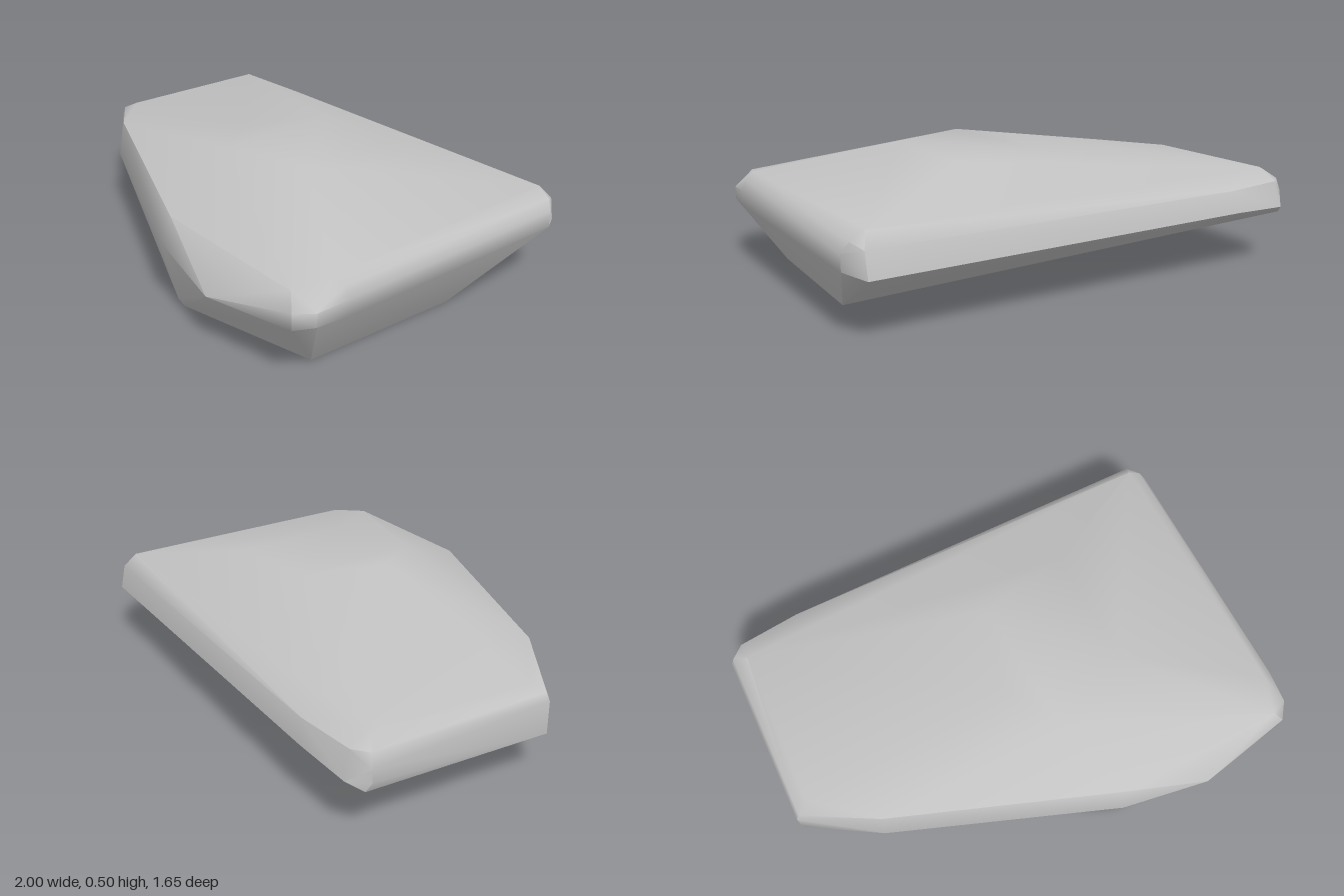
import * as THREE from 'three';
import { ConvexGeometry } from 'three/addons/geometries/ConvexGeometry.js';

// Area-weighted normals: shallow angles shade smoothly, hard breaks stay crisp
function creaseNormals(geometry, angle) {
  const pos = geometry.attributes.position;
  const corner = (i) => new THREE.Vector3().fromBufferAttribute(pos, i);
  const key = (i) => corner(i).toArray().map((v) => v.toFixed(4)).join();
  const faces = [];
  const around = {};
  for (let i = 0; i < pos.count; i += 3) {
    const a = corner(i);
    const area = corner(i + 1).sub(a).cross(corner(i + 2).sub(a));
    const face = { area, dir: area.clone().normalize() };
    faces.push(face);
    for (let k = i; k < i + 3; k++) (around[key(k)] ??= []).push(face);
  }
  const limit = Math.cos(angle);
  for (let i = 0; i < pos.count; i++) {
    const own = faces[Math.floor(i / 3)];
    const normal = new THREE.Vector3();
    for (const face of around[key(i)]) if (face.dir.dot(own.dir) > limit) normal.add(face.area);
    normal.normalize();
    geometry.attributes.normal.setXYZ(i, normal.x, normal.y, normal.z);
  }
  return geometry;
}

export function createModel() {
  const group = new THREE.Group();
  group.name = 'rock';
  const stone = new THREE.MeshStandardMaterial({ color: 0xc2c2c2 });
  stone.name = 'grey stone';

  // Corners of the slab: [x, z, heights...]
  const corners = [
    // flat foot
    [0.77, 0.01, 0], [0.6, 0.62, 0], [0.03, 0.62, 0], [-0.02, 0.6, 0.004],
    // flat crown
    [0.4, -0.2, 0.5], [0.3, 0.25, 0.5], [-0.04, 0.29, 0.5], [-0.12, 0.08, 0.5], [0.04, -0.22, 0.5],
    // left end
    [-1, -0.1, 0.185, 0.31], [-0.985, -0.1, 0.34], [-0.93, -0.12, 0.367],
    [-0.78, 0.14, 0.24], [-0.76, 0.125, 0.382],
    // back left corner
    [-0.8, -0.79, 0.205], [-0.82, -0.78, 0.24, 0.29], [-0.805, -0.77, 0.34],
    [-0.75, -0.83, 0.24], [-0.745, -0.8, 0.34], [-0.76, -0.72, 0.383],
    [-0.52, -0.79, 0.25], [-0.5, -0.765, 0.335],
    // right back corner
    [0.97, -0.41, 0.235], [0.965, -0.39, 0.33], [1, -0.31, 0.25, 0.31],
    [0.98, -0.33, 0.35], [0.93, -0.35, 0.383],
    // front corner
    [0.77, 0.65, 0.25, 0.31], [0.75, 0.65, 0.35], [0.71, 0.66, 0.376],
    [0.73, 0.77, 0.25, 0.3], [0.67, 0.82, 0.24, 0.3], [0.64, 0.785, 0.355],
    // front left edge
    [0.3, 0.8, 0.22], [-0.03, 0.665, 0.26], [0, 0.64, 0.362],
  ];
  const points = corners.flatMap(([x, z, ...heights]) => heights.map((y) => new THREE.Vector3(x, y, z)));

  const slab = new THREE.Mesh(creaseNormals(new ConvexGeometry(points), 0.7), stone);
  slab.name = 'slab';
  group.add(slab);
  return group;
}
